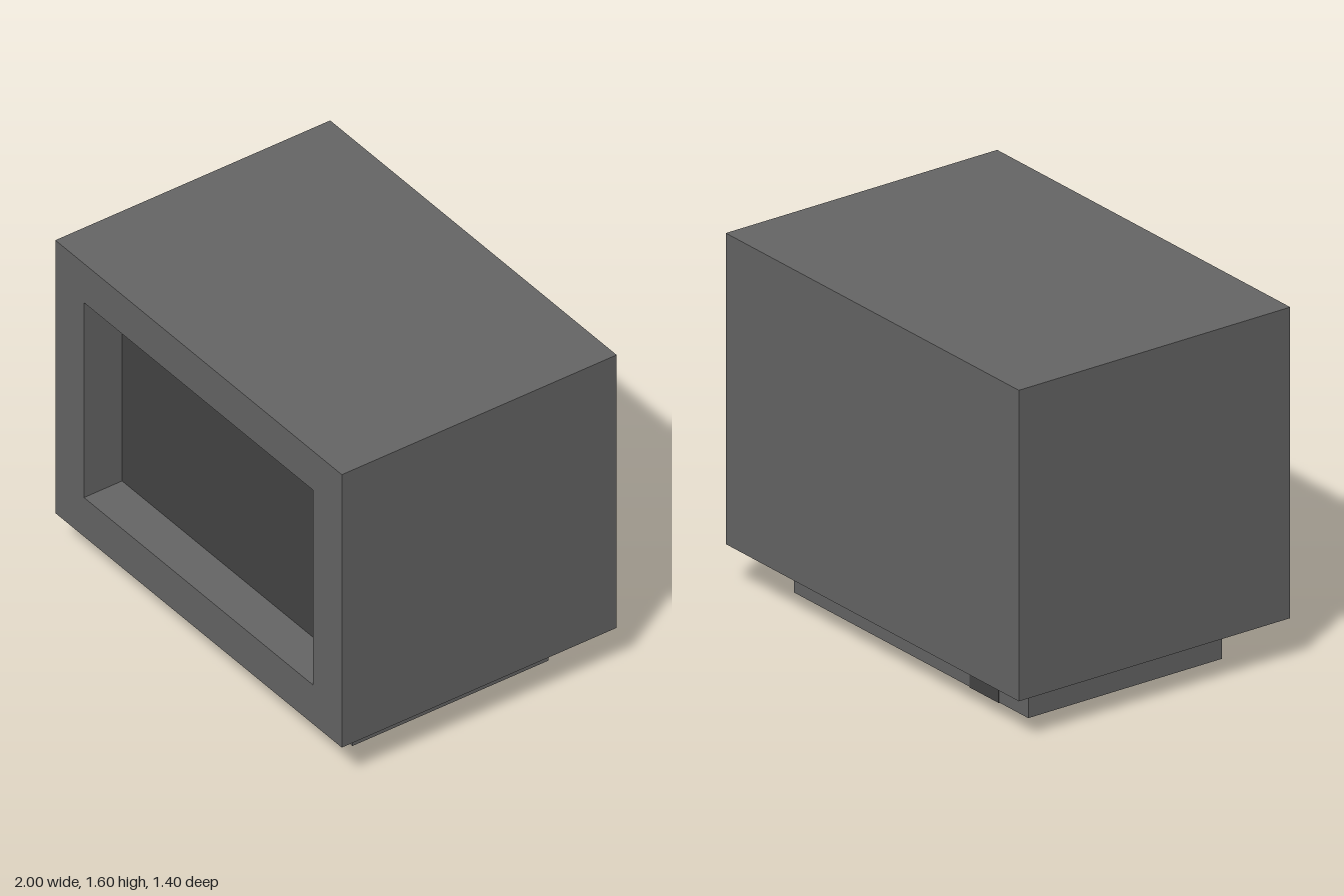
import * as THREE from 'three';

export function createModel() {
  const model = new THREE.Group();
  const casing = new THREE.MeshStandardMaterial({ color: 0x666666 });
  casing.name = 'casing grey';
  const dark = new THREE.MeshStandardMaterial({ color: 0x444444 });
  dark.name = 'dark grey';

  function add(name, geometry, material, x, y, z) {
    const mesh = new THREE.Mesh(geometry, material);
    mesh.name = name;
    mesh.position.set(x, y, z);
    model.add(mesh);
    return mesh;
  }

  function rectangle(path, w, h) {
    path.moveTo(-w / 2, -h / 2);
    path.lineTo(w / 2, -h / 2);
    path.lineTo(w / 2, h / 2);
    path.lineTo(-w / 2, h / 2);
    path.closePath();
    return path;
  }

  // Casing: solid rear block and a front frame around the recess
  add('casing', new THREE.BoxGeometry(2, 1.4, 1.2), casing, 0, 0.9, -0.1);
  const frame = rectangle(new THREE.Shape(), 2, 1.4);
  frame.holes.push(rectangle(new THREE.Path(), 1.6, 1));
  add('frontFrame', new THREE.ExtrudeGeometry(frame, { depth: 0.2, bevelEnabled: false }), casing, 0, 0.9, 0.5);

  // Screen at the back of the recess
  add('screen', new THREE.BoxGeometry(1.6, 1, 0.006), dark, 0, 0.9, 0.503);

  // Base
  add('base', new THREE.BoxGeometry(1.6, 0.2, 1), casing, 0, 0.1, 0);

  // Round-ended inset at the rear of the base, flush with back and underside
  const inset = new THREE.Shape();
  inset.moveTo(-0.1, -0.102);
  inset.lineTo(0.1, -0.102);
  inset.lineTo(0.1, 0);
  inset.absarc(0, 0, 0.1, 0, Math.PI, false);
  inset.closePath();
  const insetGeometry = new THREE.ExtrudeGeometry(inset, { depth: 0.2, bevelEnabled: false, curveSegments: 4 });
  insetGeometry.rotateX(Math.PI / 2);
  add('rearInset', insetGeometry, dark, -0.5, 0.198, -0.4);

  return model;
}
